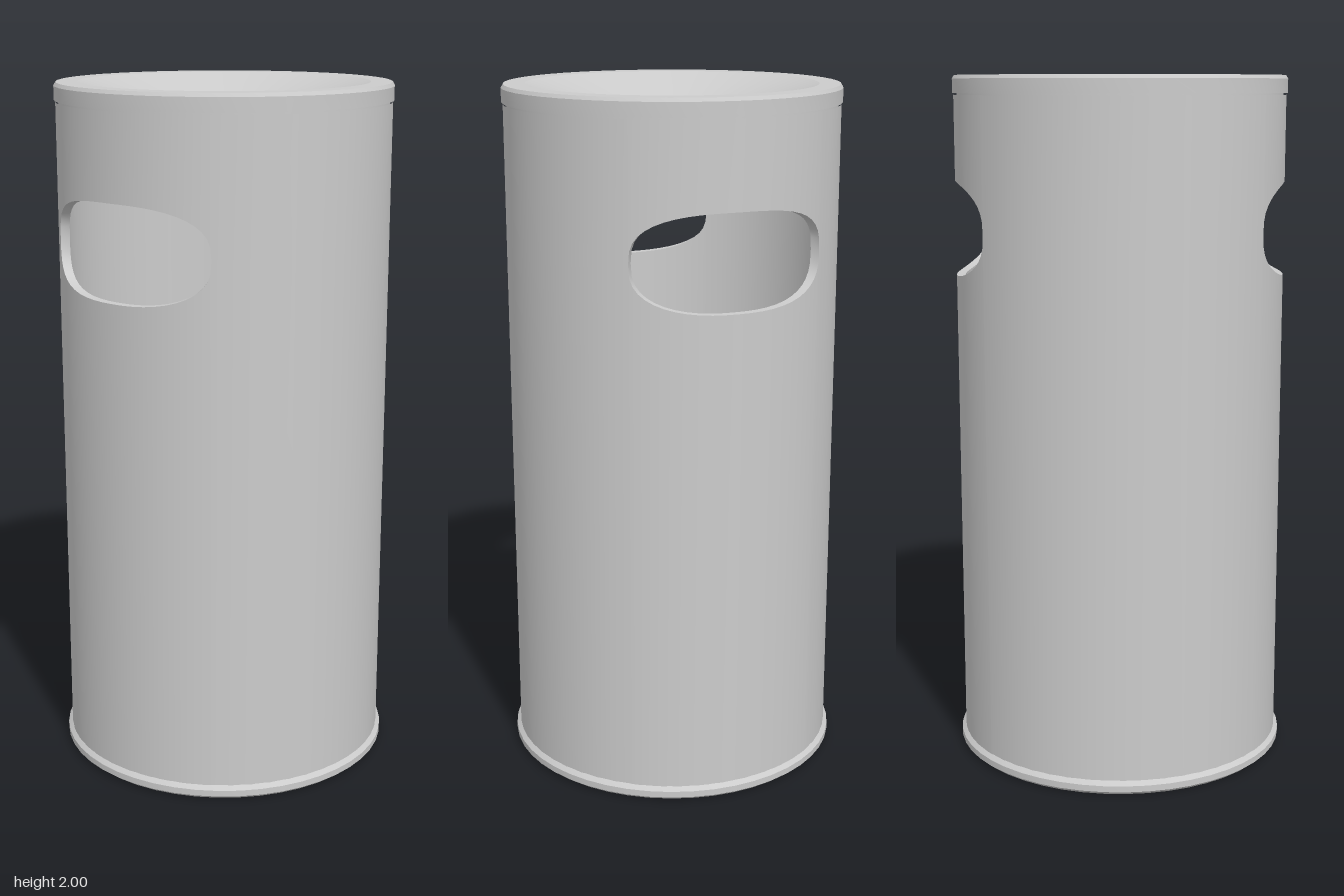
import * as THREE from 'three';
import { toCreasedNormals } from 'three/addons/utils/BufferGeometryUtils.js';

const OUTER = 0.478, INNER = 0.452;
const WALL_BOTTOM = 0.03, WALL_TOP = 1.945;
const SLOT = { y: 1.567, halfWidth: 0.28, halfHeight: 0.136, power: 2.8 };

const material = new THREE.MeshStandardMaterial({ color: 0xcccccc });

function addMesh(group, name, geometry, crease = 0.5) {
  const mesh = new THREE.Mesh(toCreasedNormals(geometry, crease), material);
  mesh.name = name;
  group.add(mesh);
}

// Revolved part from [radius, height] pairs
function lathe(points, segments = 48) {
  return new THREE.LatheGeometry(points.map(([r, y]) => new THREE.Vector2(r, y)), segments);
}

// Columns round the wall: angle plus the half height of the opening there
function wallColumns() {
  const columns = [];
  const edge = Math.asin(SLOT.halfWidth / OUTER);
  const slotSteps = 24, sideSteps = 16;
  for (const start of [0, Math.PI]) {
    for (let i = 0; i <= slotSteps; i++) {
      const s = Math.sin((i / slotSteps - 0.5) * Math.PI);
      const rest = Math.max(0, 1 - Math.abs(s) ** SLOT.power);
      const gap = i % slotSteps === 0 ? 0 : SLOT.halfHeight * rest ** (1 / SLOT.power);
      columns.push({ angle: start + Math.asin(s * SLOT.halfWidth / OUTER), gap });
    }
    for (let i = 1; i < sideSteps; i++) {
      columns.push({ angle: start + edge + (i / sideSteps) * (Math.PI - 2 * edge), gap: 0 });
    }
  }
  return columns;
}

// Thick cylindrical wall with a rounded slot at the front and the back
function wallGeometry() {
  const positions = [];
  const point = (angle, [r, y]) => [r * Math.sin(angle), y, r * Math.cos(angle)];
  const below = ({ gap }) => [
    [OUTER, WALL_BOTTOM], [OUTER, SLOT.y - gap], [INNER, SLOT.y - gap], [INNER, WALL_BOTTOM]];
  const above = ({ gap }) => [
    [INNER, WALL_TOP], [INNER, SLOT.y + gap], [OUTER, SLOT.y + gap], [OUTER, WALL_TOP]];
  const columns = wallColumns();
  columns.forEach((left, i) => {
    const right = columns[(i + 1) % columns.length];
    for (const profile of [below, above]) {
      const p = profile(left), q = profile(right);
      for (let k = 0; k < 3; k++) {
        // The ledge exists only along the slots
        if (k === 1 && left.gap === 0 && right.gap === 0) continue;
        const a = point(left.angle, p[k]), b = point(right.angle, q[k]);
        const c = point(right.angle, q[k + 1]), d = point(left.angle, p[k + 1]);
        positions.push(...a, ...b, ...c, ...a, ...c, ...d);
      }
    }
  });
  const geometry = new THREE.BufferGeometry();
  geometry.setAttribute('position', new THREE.Float32BufferAttribute(positions, 3));
  return geometry;
}

export function createModel() {
  const group = new THREE.Group();
  group.name = 'litterBin';

  addMesh(group, 'body', wallGeometry());

  // Closed base with a slightly flared foot rim and an inner floor
  addMesh(group, 'base', lathe([
    [0, 0], [0.475, 0], [0.49, 0.012], [0.49, 0.03], [0.478, 0.042],
    [0.455, 0.042], [0, 0.042],
  ]));

  // Recessed seam between the body and the lid
  addMesh(group, 'seam', lathe([
    [0.452, 1.94], [0.47, 1.94], [0.47, 1.955], [0.452, 1.955], [0.452, 1.94],
  ]));

  // Dished lid sloping down to a central hole
  addMesh(group, 'lid', lathe([
    [0.15, 1.895], [0.415, 1.95], [0.482, 1.95], [0.482, 1.99], [0.476, 2],
    [0.415, 2], [0.15, 1.918], [0.15, 1.895],
  ]), 0.25);

  return group;
}
